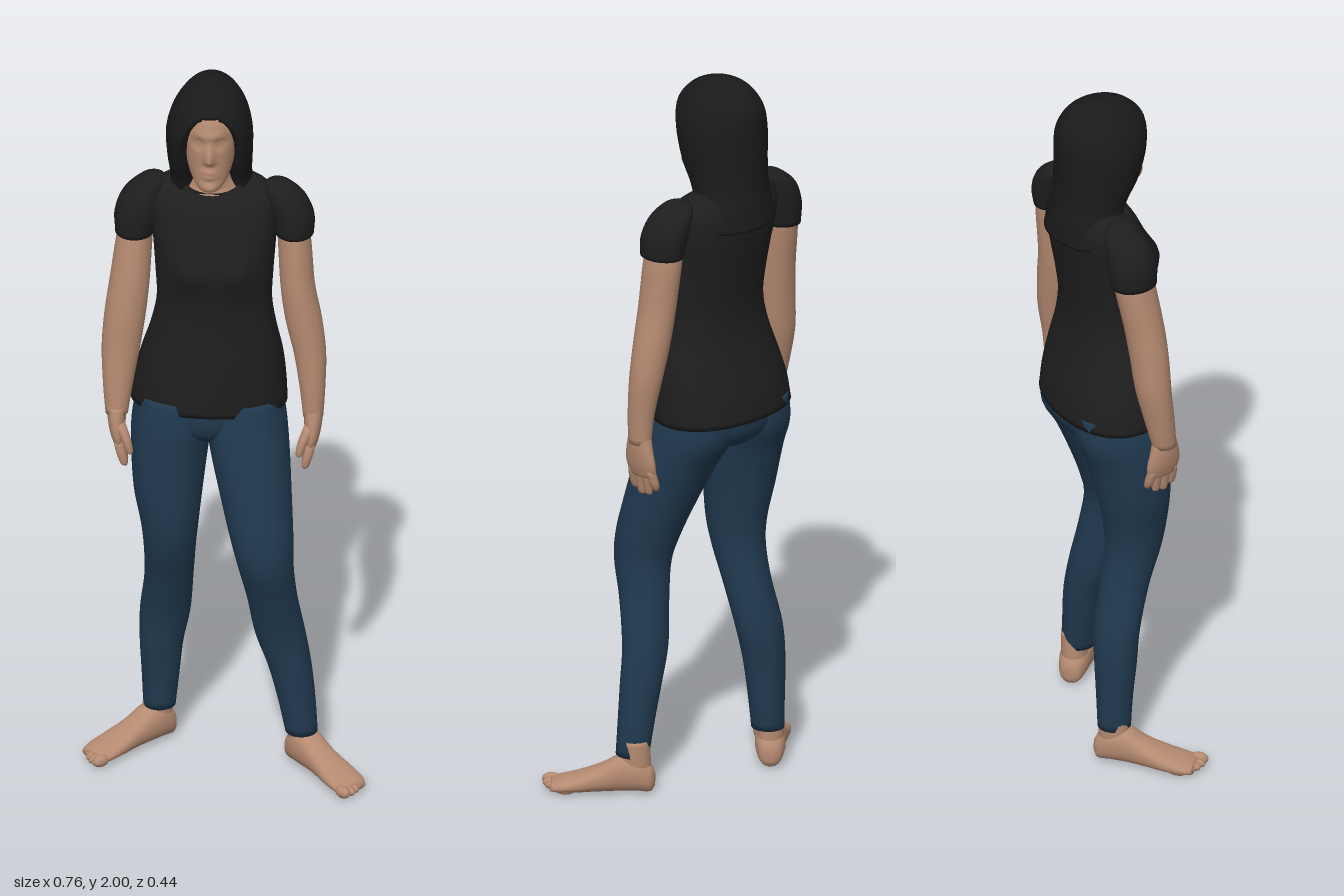
import * as THREE from 'three';

const flat = (color, name) => Object.assign(new THREE.MeshStandardMaterial({ color }), { name });
const bump = (d, w) => Math.exp(-(d * d) / (w * w));
const smooth = THREE.MathUtils.smoothstep;

// Smooth closed skin over elliptical rings [height, x, z, radiusX, radiusZ], listed bottom to top.
function loft(rings, { n = 28, steps = 5, power = 2, yaw = 0, deform, openTop = false } = {}) {
  const spine = new THREE.CatmullRomCurve3(rings.map(r => new THREE.Vector3(r[1], r[0], r[2])), false, 'catmullrom', 0.5);
  const radii = new THREE.CatmullRomCurve3(rings.map(r => new THREE.Vector3(r[3], r[4], 0)), false, 'catmullrom', 0.5);
  const rows = (rings.length - 1) * steps;
  const pos = [], idx = [];
  const c = Math.cos(yaw), s = Math.sin(yaw);
  const round = v => Math.sign(v) * Math.abs(v) ** (2 / power);
  for (let i = 0; i <= rows; i++) {
    const o = spine.getPoint(i / rows), r = radii.getPoint(i / rows);
    for (let j = 0; j < n; j++) {
      const a = (j / n) * Math.PI * 2;
      const dx = r.x * round(Math.cos(a)), dz = r.y * round(Math.sin(a));
      const p = new THREE.Vector3(o.x + dx * c - dz * s, o.y, o.z + dx * s + dz * c);
      if (deform) deform(p, o, a);
      pos.push(p.x, p.y, p.z);
      if (i < rows) {
        const k = i * n + j, m = i * n + (j + 1) % n;
        idx.push(k, k + n, m + n, k, m + n, m);
      }
    }
  }
  const cap = (row, top) => {
    const o = spine.getPoint(top ? 1 : 0), centre = pos.length / 3;
    pos.push(o.x, o.y, o.z);
    for (let j = 0; j < n; j++) {
      const k = row * n + j, m = row * n + (j + 1) % n;
      idx.push(centre, top ? m : k, top ? k : m);
    }
  };
  cap(0, false);
  if (!openTop) cap(rows, true);
  const g = new THREE.BufferGeometry();
  g.setAttribute('position', new THREE.Float32BufferAttribute(pos, 3));
  g.setIndex(idx);
  g.computeVertexNormals();
  return g;
}

export function createModel() {
  const root = new THREE.Group();
  const skin = flat(0xb58a71, 'skin');
  const black = flat(0x1e1e1e, 'shirt black');
  const hairMat = flat(0x1a1a1a, 'hair black');
  const denim = flat(0x20394f, 'denim blue');
  black.side = THREE.DoubleSide;
  const add = (name, geometry, material, parent = root) => {
    const m = new THREE.Mesh(geometry, material);
    m.name = name;
    parent.add(m);
    return m;
  };

  // Shirt body, with bust and a scooped neckline
  add('shirt', loft([
    [1.05, -.045, -.075, .208, .137], [1.12, -.042, -.07, .202, .132], [1.2, -.036, -.06, .188, .121],
    [1.28, -.032, -.052, .167, .111], [1.36, -.03, -.05, .153, .109], [1.44, -.03, -.054, .156, .115],
    [1.52, -.03, -.065, .162, .118], [1.58, -.031, -.078, .167, .113], [1.64, -.033, -.092, .166, .098],
    [1.685, -.035, -.1, .138, .07], [1.705, -.035, -.092, .078, .062],
  ], {
    n: 64, power: 2.2, yaw: .07, openTop: true,
    deform(p, o, a) {
      const front = Math.max(0, Math.sin(a));
      for (const x of [-.095, .035]) p.z += front * .032 * bump(p.x - x, .055) * bump(p.y - 1.485, .06);
      p.y -= .028 * front * smooth(p.y, 1.66, 1.705);
    },
  }), black);

  // Puffed sleeves
  add('leftSleeve', loft([
    [1.55, .182, -.066, .051, .063], [1.6, .178, -.07, .056, .067], [1.65, .16, -.076, .052, .06],
    [1.683, .138, -.082, .036, .042], [1.696, .132, -.083, .014, .016],
  ]), black);
  add('rightSleeve', loft([
    [1.53, -.243, -.098, .052, .064], [1.59, -.236, -.1, .06, .068], [1.645, -.22, -.105, .054, .06],
    [1.683, -.196, -.108, .036, .042], [1.696, -.19, -.109, .014, .016],
  ]), black);

  // Arms
  add('leftArm', loft([
    [1.02, .232, -.032, .027, .033], [1.1, .23, -.035, .034, .037], [1.2, .223, -.045, .043, .045],
    [1.3, .206, -.051, .049, .05], [1.4, .19, -.056, .046, .054], [1.54, .18, -.068, .044, .057], [1.62, .165, -.072, .04, .05],
  ]), skin);
  add('rightArm', loft([
    [1.02, -.288, -.032, .03, .033], [1.1, -.285, -.045, .04, .04], [1.2, -.278, -.06, .051, .047],
    [1.3, -.267, -.066, .055, .051], [1.4, -.255, -.076, .053, .054], [1.54, -.24, -.098, .047, .057], [1.62, -.222, -.1, .043, .05],
  ]), skin);

  // Hands: palm towards the thigh, thumb to the front
  for (const [side, name, x] of [[1, 'leftHand', .232], [-1, 'rightHand', -.288]]) {
    const hand = new THREE.Group();
    hand.name = name;
    hand.position.set(x, 0, -.032);
    root.add(hand);
    add('palm', loft([
      [.925, -side * .008, -.004, .014, .042], [.96, -side * .003, -.002, .02, .049],
      [1.0, 0, 0, .024, .043], [1.04, 0, 0, .027, .033],
    ], { n: 20 }), skin, hand);
    [[-.038, .885], [-.014, .868], [.01, .865], [.033, .877]].forEach(([z, tip]) => add('finger', loft([
      [tip, -side * .022, z, .004, .005], [tip + .008, -side * .02, z, .01, .011],
      [.91, -side * .014, z, .013, .013], [.945, -side * .005, z * .9, .013, .013],
    ], { n: 10, steps: 3 }), skin, hand));
    add('thumb', loft([
      [.918, -side * .036, .046, .004, .005], [.926, -side * .035, .046, .01, .011],
      [.96, -side * .026, .042, .013, .014], [1.0, -side * .008, .022, .015, .018],
    ], { n: 10, steps: 3 }), skin, hand);
  }

  // Jeans: hips and two legs
  add('hips', loft([
    [.95, -.045, -.06, .04, .06], [.975, -.045, -.064, .12, .1], [1.01, -.045, -.07, .185, .122], [1.07, -.045, -.072, .195, .128],
  ], { n: 40 }), denim);
  add('leftLeg', loft([
    [.105, .203, .02, .043, .046], [.2, .19, .018, .05, .049], [.3, .172, .018, .058, .054], [.4, .147, .025, .067, .057],
    [.52, .126, .048, .067, .066], [.62, .11, .067, .074, .078], [.7, .099, .057, .084, .089], [.8, .084, .027, .094, .1],
    [.92, .066, -.015, .105, .115], [1.0, .055, -.05, .108, .127], [1.08, .05, -.065, .1, .12],
  ], { n: 36 }), denim);
  add('rightLeg', loft([
    [.105, -.178, -.118, .043, .045], [.2, -.175, -.115, .05, .049], [.3, -.172, -.11, .058, .056], [.4, -.162, -.1, .067, .06],
    [.52, -.151, -.068, .065, .066], [.62, -.148, -.04, .069, .076], [.7, -.148, -.033, .077, .087], [.8, -.152, -.04, .092, .1],
    [.92, -.148, -.055, .103, .115], [1.0, -.14, -.07, .109, .13], [1.08, -.135, -.075, .1, .125],
  ], { n: 36 }), denim);

  // Bare feet, built heel to toe and laid flat
  for (const [side, name, x, z, turn] of [[1, 'leftFoot', .177, -.026, .68], [-1, 'rightFoot', -.15, -.152, -.845]]) {
    const foot = new THREE.Group();
    foot.name = name;
    foot.position.set(x, 0, z);
    foot.rotation.y = turn;
    root.add(foot);
    const sole = loft([
      [-.008, 0, -.038, .012, .018], [.005, 0, -.042, .03, .038], [.04, 0, -.056, .04, .05], [.08, 0, -.056, .041, .051],
      [.13, side * .002, -.042, .042, .038], [.19, side * .003, -.029, .049, .026], [.24, side * .002, -.021, .05, .018], [.268, 0, -.017, .042, .012],
    ], { n: 28, power: 2.3 });
    sole.rotateX(Math.PI / 2);
    add('sole', sole, skin, foot);
    add('ankle', loft([[.04, 0, .045, .034, .042], [.09, 0, .045, .036, .042], [.15, 0, .045, .036, .038]], { n: 24 }), skin, foot);
    [-.035, -.014, .005, .022, .037].forEach((tx, i) => {
      const toe = add('toe', new THREE.SphereGeometry(1, 14, 10), skin, foot);
      toe.scale.set(i ? .0105 : .016, i ? .013 : .017, .026);
      toe.position.set(side * tx, i ? .015 : .018, .268 - i * i * .0025);
    });
  }

  // Neck
  add('neck', loft([
    [1.63, -.035, -.095, .1, .06], [1.67, -.035, -.092, .08, .062], [1.69, -.035, -.088, .066, .056],
    [1.72, -.036, -.08, .053, .052], [1.78, -.04, -.07, .052, .055],
  ]), skin);

  // Head with nose, brow, eye sockets, lips and chin
  add('head', loft([
    [1.716, -.04, .015, .016, .022], [1.728, -.04, .006, .036, .045], [1.765, -.04, -.02, .056, .07], [1.82, -.04, -.043, .069, .095],
    [1.88, -.04, -.055, .074, .107], [1.935, -.04, -.065, .066, .1], [1.97, -.04, -.075, .035, .055],
  ], {
    n: 96, steps: 9,
    deform(p, o, a) {
      const front = Math.max(0, Math.sin(a)), x = p.x + .04, y = p.y;
      const bridge = smooth(y, 1.8, 1.815) * (1 - smooth(y, 1.815, 1.88));
      p.z += front * (.021 * bridge * bump(x, .013)
        + .005 * bump(y - 1.888, .011) * bump(x, .05)
        + .007 * bump(x, .022) * (bump(y - 1.781, .007) + bump(y - 1.766, .007))
        + .007 * bump(x, .02) * bump(y - 1.735, .014));
      for (const e of [-.03, .03]) p.z += front * (.006 * bump(x - e, .01) * bump(y - 1.862, .006) - .012 * bump(x - e, .018) * bump(y - 1.862, .014));
    },
  }), skin);

  // Long hair: one shell, drawn inward around the face
  add('hair', loft([
    [1.6, -.038, -.128, .125, .089], [1.66, -.039, -.12, .115, .091], [1.71, -.041, -.105, .109, .099], [1.77, -.043, -.086, .113, .115],
    [1.85, -.044, -.075, .115, .127], [1.915, -.042, -.074, .1, .127], [1.96, -.04, -.08, .073, .1], [1.986, -.04, -.086, .043, .062], [2, -.04, -.09, .006, .008],
  ], {
    n: 144, steps: 8,
    deform(p, o, a) {
      const up = Math.max(0, (p.y - 1.8) / .133);
      const half = up < 1 ? .078 * Math.sqrt(1 - up * up) : 0;
      if (Math.sin(a) > 0 && half > 0) {
        const k = 1 - .5 * (1 - smooth(Math.abs(p.x + .038), half - .004, half + .004));
        p.x = o.x + (p.x - o.x) * k;
        p.z = o.z + (p.z - o.z) * k;
      }
    },
  }), hairMat);

  return root;
}
